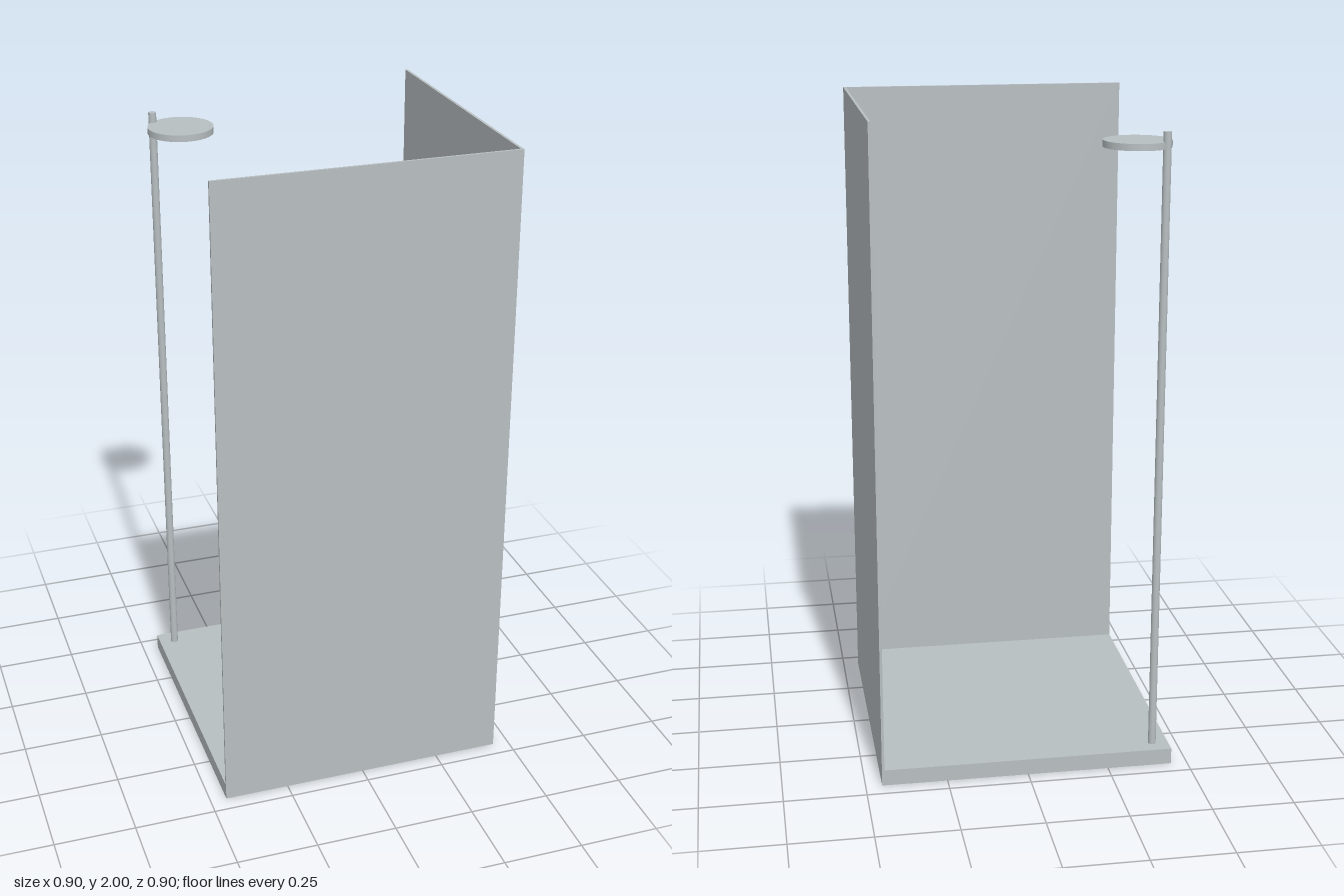
import * as THREE from 'three';

export function createModel() {
  const group = new THREE.Group();
  const paleGrey = new THREE.MeshStandardMaterial({ color: 0xb8bfc1 });
  paleGrey.name = 'paleGrey';

  const W = 0.9, H = 2, T = 0.008, TRAY = 0.05;

  function add(name, geometry, x, y, z) {
    const mesh = new THREE.Mesh(geometry, paleGrey);
    mesh.name = name;
    mesh.position.set(x, y, z);
    group.add(mesh);
  }

  // Floor tray, fitted inside the two panels
  add('tray', new THREE.BoxGeometry(W - T, TRAY, W - T), -T / 2, TRAY / 2, -T / 2);

  // Two full-height panels meeting at the front left corner
  add('frontPanel', new THREE.BoxGeometry(W, H, T), 0, H / 2, (W - T) / 2);
  add('leftPanel', new THREE.BoxGeometry(T, H, W - T), (W - T) / 2, H / 2, -T / 2);

  // Riser pipe in the open corner, with the round shower head on it
  add('riserPipe', new THREE.CylinderGeometry(0.012, 0.012, 1.9, 24), -0.4, TRAY + 0.95, -0.4);
  add('showerHead', new THREE.CylinderGeometry(0.1, 0.1, 0.02, 48), -0.33, 1.91, -0.33);

  return group;
}
